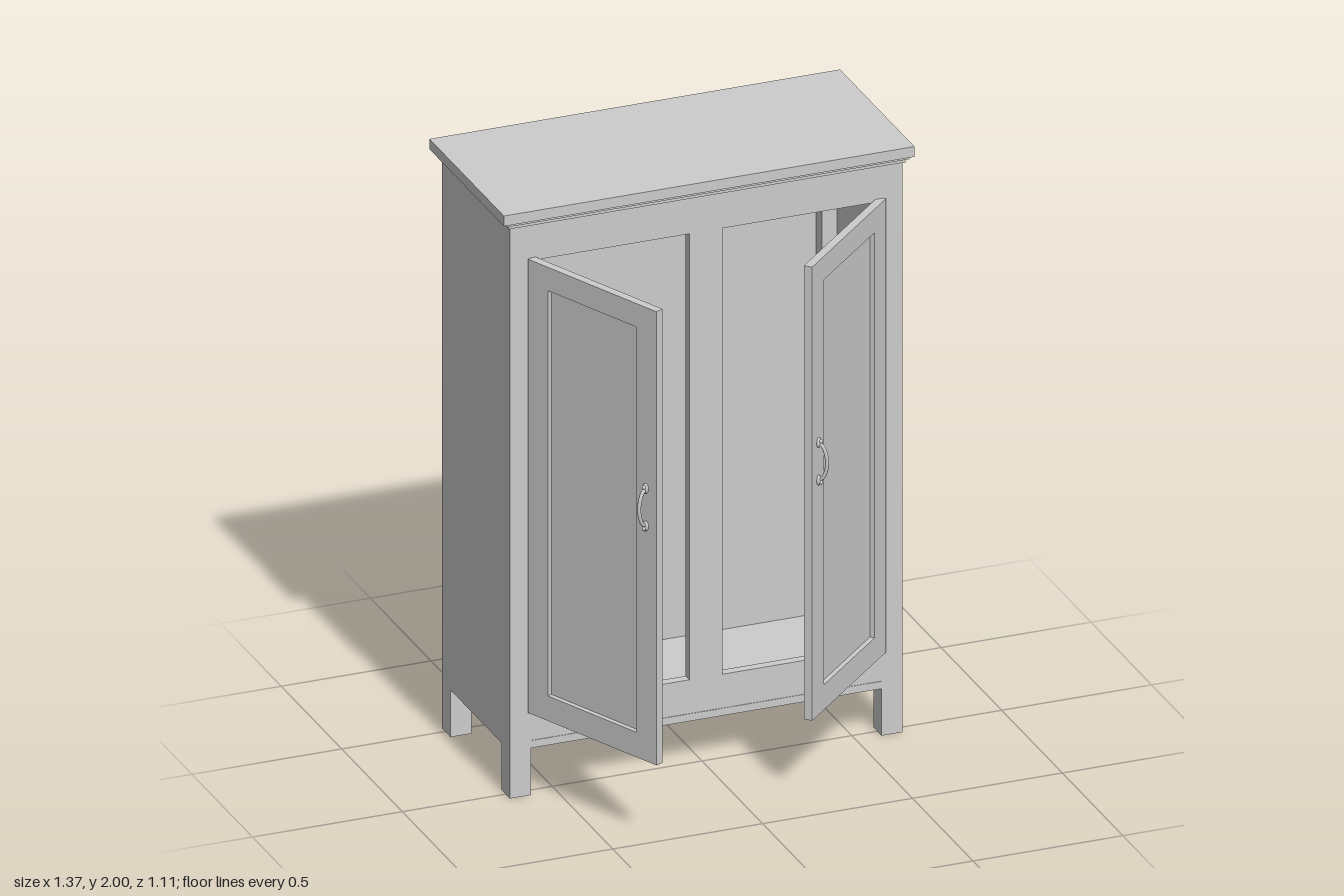
import * as THREE from 'three';

const material = new THREE.MeshStandardMaterial({ color: 0xcccccc });

function add(parent, name, geometry) {
  const mesh = new THREE.Mesh(geometry, material);
  mesh.name = name;
  parent.add(mesh);
  return mesh;
}

// Box given by its minimum and maximum on each axis
function box(parent, name, x0, x1, y0, y1, z0, z1) {
  const mesh = add(parent, name, new THREE.BoxGeometry(x1 - x0, y1 - y0, z1 - z0));
  mesh.position.set((x0 + x1) / 2, (y0 + y1) / 2, (z0 + z1) / 2);
  return mesh;
}

function rect(path, x0, x1, y0, y1) {
  path.moveTo(x0, y0);
  path.lineTo(x1, y0);
  path.lineTo(x1, y1);
  path.lineTo(x0, y1);
  path.closePath();
  return path;
}

// Bow pull: curved bar with a rosette and a small finial at each end
function makeHandle() {
  const handle = new THREE.Group();
  handle.name = 'handle';
  const points = [[-0.062, 0], [-0.055, 0.014], [-0.03, 0.026], [0, 0.03], [0.03, 0.026], [0.055, 0.014], [0.062, 0]];
  const curve = new THREE.CatmullRomCurve3(points.map(([y, z]) => new THREE.Vector3(0, y, z)));
  add(handle, 'handleBar', new THREE.TubeGeometry(curve, 32, 0.006, 10));
  for (const s of [-1, 1]) {
    const rosette = add(handle, 'handleRosette', new THREE.SphereGeometry(1, 16, 10));
    rosette.scale.set(0.012, 0.017, 0.008);
    rosette.position.set(0, s * 0.064, 0.002);
    const finial = add(handle, 'handleFinial', new THREE.SphereGeometry(0.007, 12, 8));
    finial.position.set(0, s * 0.07, 0.009);
  }
  return handle;
}

// Door hinged at its local origin, extending along x in direction s; outer face at z = 0
function makeDoor(name, s, angle) {
  const door = new THREE.Group();
  door.name = name;
  const length = 0.555, thick = 0.028;
  const span = (a, b) => (s > 0 ? [a, b] : [-b, -a]);
  const shape = rect(new THREE.Shape(), ...span(0, length), 0.285, 1.83);
  shape.holes.push(rect(new THREE.Path(), ...span(0.085, 0.468), 0.37, 1.75));
  const frame = add(door, 'doorFrame', new THREE.ExtrudeGeometry(shape, { depth: thick, bevelEnabled: false }));
  frame.position.z = -thick;
  // Panel is recessed outside and stands proud inside
  box(door, 'doorPanel', ...span(0.085, 0.468), 0.37, 1.75, -0.043, -0.016);
  const handle = makeHandle();
  handle.position.set(s * 0.51, 1.15, 0);
  door.add(handle);
  door.position.set(-s * 0.597, 0, 0.042);
  door.rotation.y = -s * THREE.MathUtils.degToRad(angle);
  return door;
}

export function createModel() {
  const model = new THREE.Group();
  model.name = 'wardrobe';
  const W = 0.655, P = 0.585, back = -0.525, front = 0.035, top = 1.945;

  // Corner posts run down into the legs, with thin side panels between them
  for (const s of [-1, 1]) {
    const span = (a, b) => (s > 0 ? [a, b] : [-b, -a]);
    box(model, 'frontLeg', ...span(P, W), 0, top, -0.033, front);
    box(model, 'backLeg', ...span(P, W), 0, top, back, -0.455);
    box(model, 'sidePanel', ...span(W - 0.02, W), 0.16, top, -0.455, -0.033);
  }
  box(model, 'backPanel', -P, P, 0.16, top, back, back + 0.02);
  box(model, 'floorPanel', -W, W, 0.16, 0.185, back, front);

  // Front frame
  box(model, 'bottomRail', -P, P, 0.185, 0.3, 0.002, front - 0.002);
  box(model, 'topRail', -P, P, 1.82, top, 0, front);
  box(model, 'centerPost', -0.055, 0.055, 0.3, 1.82, 0, front);

  // Stepped cornice and top board
  box(model, 'lowerMoulding', -0.662, 0.662, 1.943, 1.955, -0.532, 0.042);
  box(model, 'upperMoulding', -0.672, 0.672, 1.955, 1.965, -0.542, 0.05);
  box(model, 'topBoard', -0.685, 0.685, 1.965, 2, -0.555, 0.06);

  // Two doors standing open at different angles
  model.add(makeDoor('rightDoor', 1, 66.4));
  model.add(makeDoor('leftDoor', -1, 43.7));
  return model;
}
